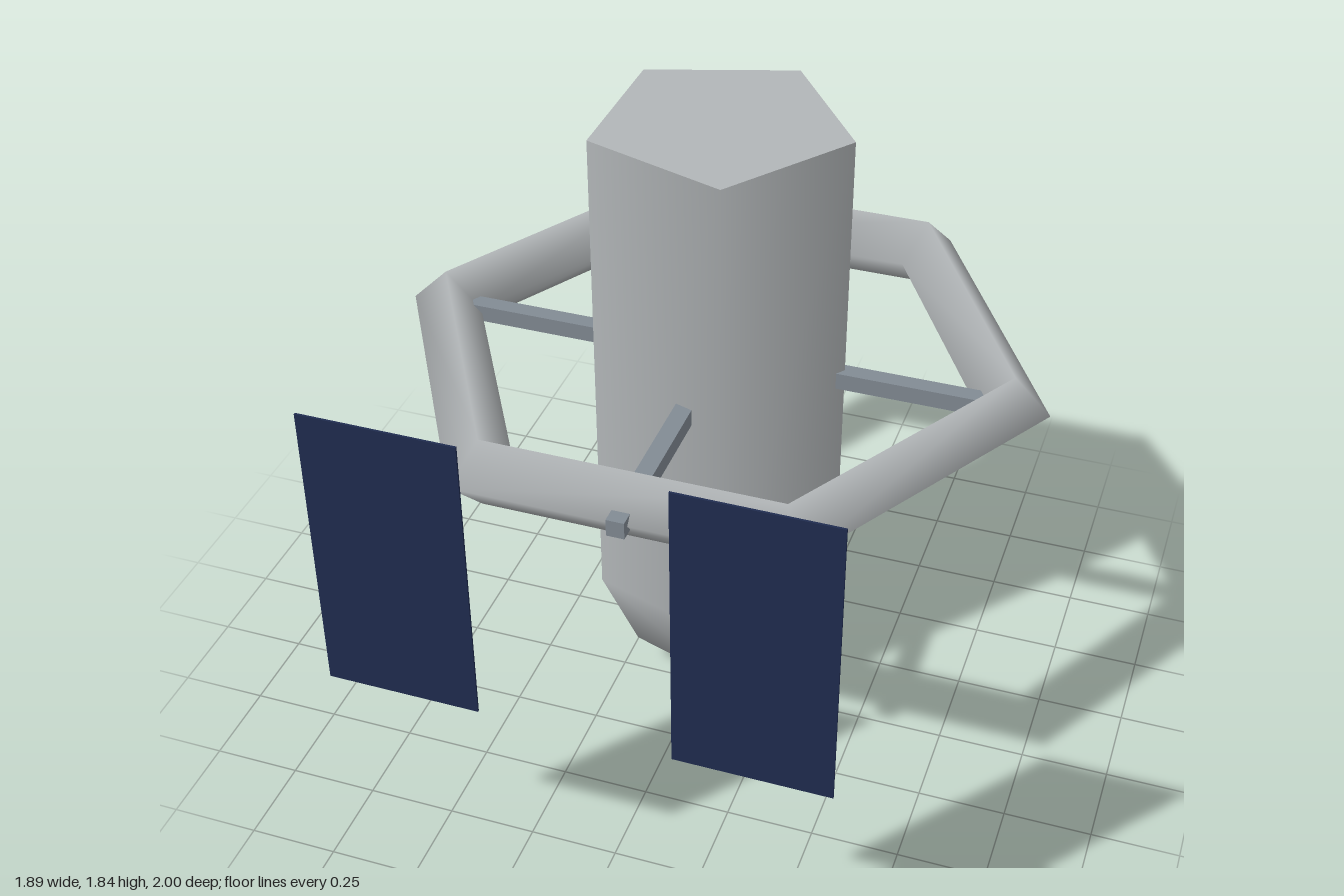
import * as THREE from 'three';

const mat = (name, color) => Object.assign(new THREE.MeshStandardMaterial({ color }), { name });

export function createModel() {
  const hullGrey = mat('hullGrey', 0xb2b6b8);
  const strutGrey = mat('strutGrey', 0x828b94);
  const panelNavy = mat('panelNavy', 0x202c50);

  const model = new THREE.Group();
  const station = new THREE.Group();
  station.name = 'station';
  station.position.z = -0.162;
  model.add(station);

  const add = (parent, name, geometry, material, x = 0, y = 0, z = 0) => {
    const mesh = new THREE.Mesh(geometry, material);
    mesh.name = name;
    mesh.position.set(x, y, z);
    parent.add(mesh);
    return mesh;
  };

  // Five-sided hull with one edge towards +x, and a rounded lower end
  const radius = 0.365, top = 1.84, ringY = 1.105;
  add(station, 'hull',
    new THREE.CylinderGeometry(radius, radius, top - radius, 5, 1, false, Math.PI / 2),
    hullGrey, 0, (top + radius) / 2);
  add(station, 'hullDome',
    new THREE.SphereGeometry(radius, 5, 2, Math.PI, Math.PI * 2, Math.PI / 2, Math.PI / 2),
    hullGrey, 0, radius);

  // Hexagonal ring with a diamond section
  add(station, 'ring', new THREE.TorusGeometry(0.838, 0.105, 4, 6).rotateX(Math.PI / 2),
    hullGrey, 0, ringY);

  // Four spokes from the hull axis out to the ring
  for (let i = 0; i < 4; i++) {
    const spoke = add(station, 'spoke' + (i + 1),
      new THREE.BoxGeometry(0.838, 0.05, 0.05).translate(0.419, 0, 0), strutGrey, 0, ringY);
    spoke.rotation.y = i * Math.PI / 2;
  }

  // Pair of thin free-standing panels in front
  for (const [name, side] of [['leftPanel', 1], ['rightPanel', -1]]) {
    add(model, name, new THREE.BoxGeometry(0.418, 0.838, 0.006), panelNavy, side * 0.471, 1.107, 0.997);
  }

  return model;
}
